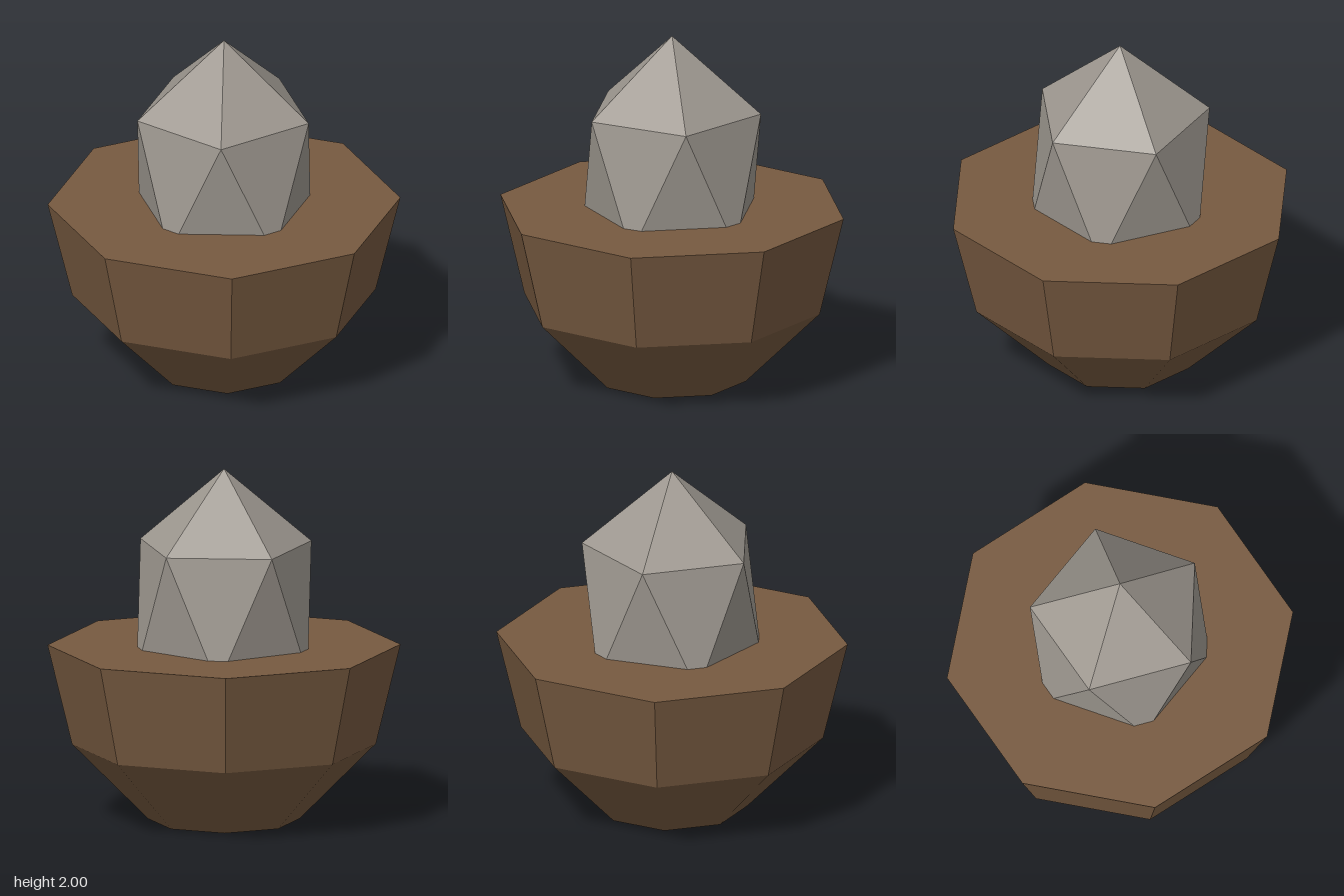
import * as THREE from 'three';

export function createModel() {
  const group = new THREE.Group();

  const brown = new THREE.MeshStandardMaterial({ color: 0x775a40, flatShading: true });
  brown.name = 'brown wood';
  const grey = new THREE.MeshStandardMaterial({ color: 0x9e9890, flatShading: true });
  grey.name = 'grey stone';

  // Closed eight-sided base, its flat sides facing the axes
  const profile = [[0, 0], [0.425, 0], [0.852, 0.427], [0.99, 0.995], [0, 0.995]]
    .map(([r, y]) => new THREE.Vector2(r, y));
  const base = new THREE.Mesh(new THREE.LatheGeometry(profile, 8, Math.PI / 8), brown);
  base.name = 'base';

  // Stretched icosahedron standing on one corner, half sunk into the base
  const golden = (1 + Math.sqrt(5)) / 2;
  const gem = new THREE.IcosahedronGeometry(1, 0);
  gem.rotateZ(-Math.atan(1 / golden));
  gem.scale(0.565, 0.787, 0.565);
  gem.translate(0, 1.213, 0);
  const stone = new THREE.Mesh(gem, grey);
  stone.name = 'stone';

  group.add(base, stone);
  return group;
}
